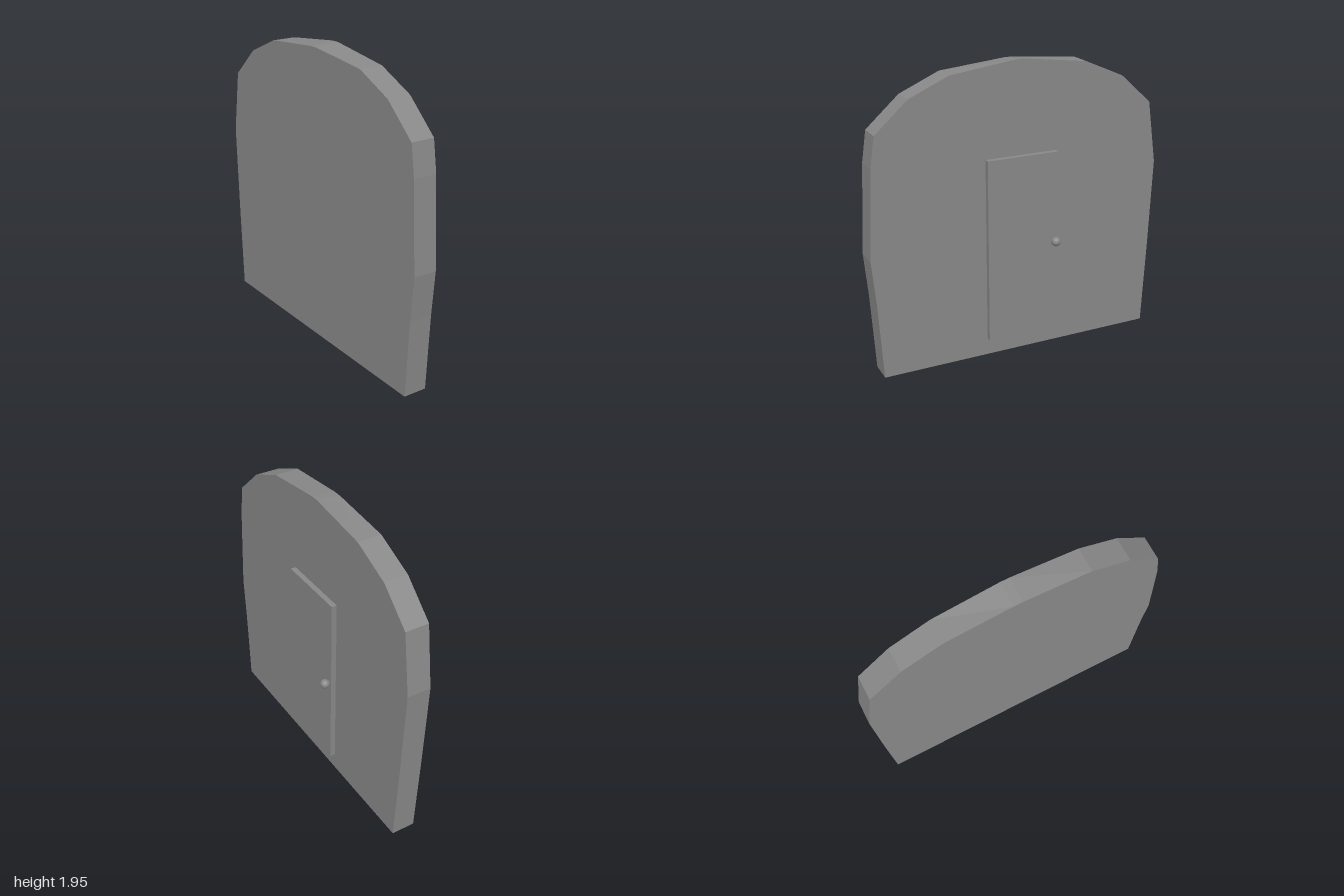
import * as THREE from 'three';

export function createModel() {
  const group = new THREE.Group();
  const flat = new THREE.MeshStandardMaterial({ color: 0x888888, flatShading: true });
  const smooth = new THREE.MeshStandardMaterial({ color: 0x888888 });

  const add = (name, geometry, material, x = 0, y = 0, z = 0) => {
    const mesh = new THREE.Mesh(geometry, material);
    mesh.name = name;
    mesh.position.set(x, y, z);
    group.add(mesh);
  };

  // Arched wall: outline as (-z, y), extruded along x
  const outline = [
    [-0.947, 0], [0.947, 0], [0.975, 0.55], [1, 1.165], [0.94, 1.58],
    [0.725, 1.775], [0.46, 1.89], [0.03, 1.945], [-0.03, 1.945], [-0.465, 1.888],
    [-0.725, 1.773], [-0.94, 1.58], [-0.97, 1.38], [-1, 0.8], [-0.975, 0.51],
  ];
  const shape = new THREE.Shape(outline.map(([u, y]) => new THREE.Vector2(u, y)));
  const wall = new THREE.ExtrudeGeometry(shape, { depth: 0.157, bevelEnabled: false });
  wall.rotateY(Math.PI / 2).translate(-0.128, 0, 0);

  // The crown slopes down slightly toward the rear face
  const p = wall.attributes.position;
  for (let i = 0; i < p.count; i++) {
    if (p.getX(i) < -0.1 && p.getY(i) > 1.93) p.setY(i, 1.93);
  }
  wall.computeVertexNormals();
  add('wall', wall, flat);

  // Door panel, slightly sunk into the wall
  add('door', new THREE.BoxGeometry(0.046, 1.225, 0.49), flat, 0.041, 0.728, -0.008);

  // Knob on a short stem
  const stem = new THREE.CylinderGeometry(0.014, 0.014, 0.03, 12).rotateZ(Math.PI / 2);
  add('knobStem', stem, smooth, 0.07, 0.742, -0.227);
  add('knob', new THREE.SphereGeometry(0.031, 20, 14), smooth, 0.094, 0.742, -0.227);

  return group;
}
